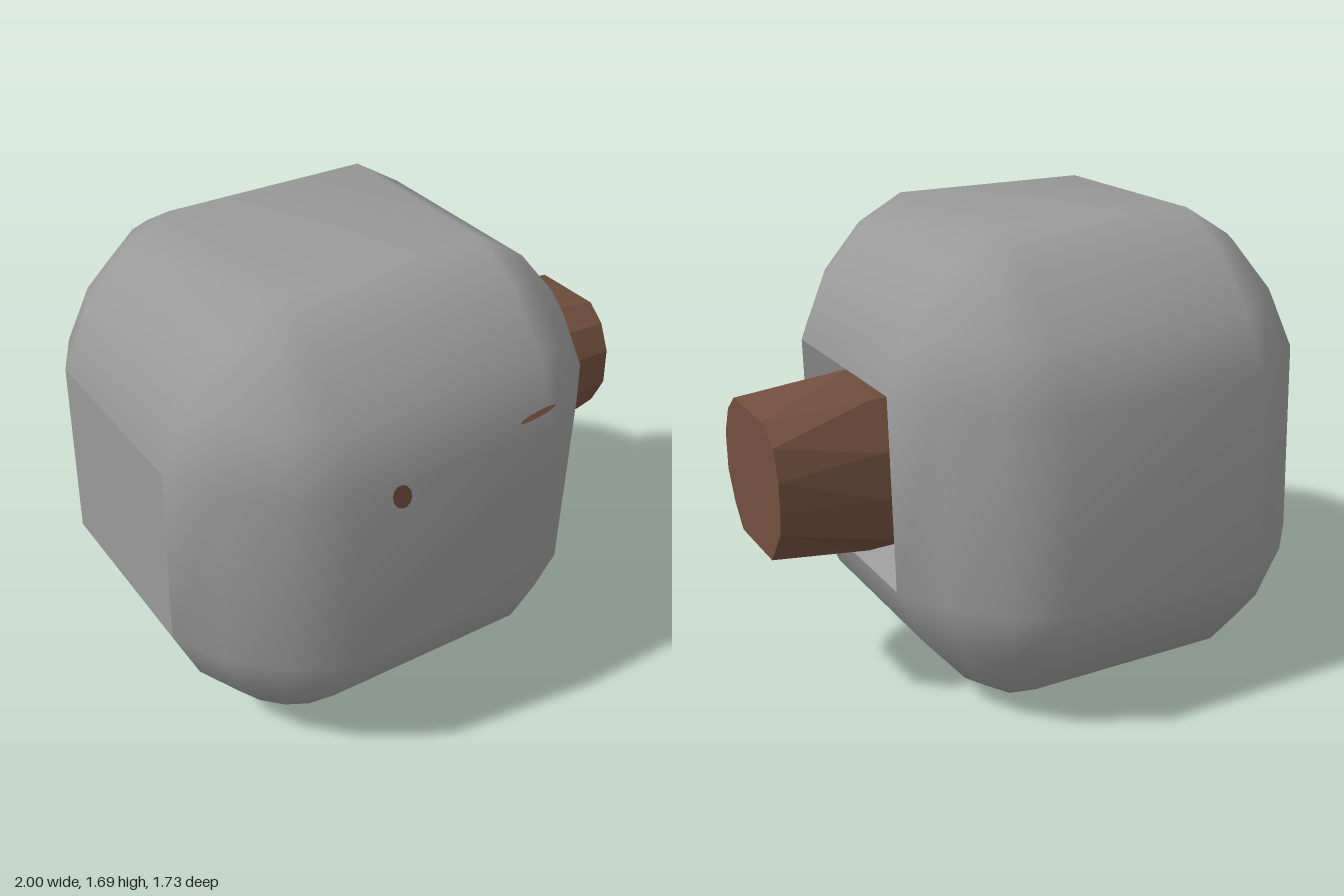
import * as THREE from 'three';
import { mergeVertices } from 'three/addons/utils/BufferGeometryUtils.js';

const grey = new THREE.MeshStandardMaterial({ color: 0x999999 });
grey.name = 'stone grey';
const brown = new THREE.MeshStandardMaterial({ color: 0x714f3e });
brown.name = 'wood brown';

const MID = 0.845;                                  // height of the body centre
const CORE = { x: 0.38, y: 0.345, z: 0.375 };       // half size of the flat faces
const ROUND = { x: 0.425, y: 0.5, z: 0.45 };        // size of the rounded edges
const SIN = [0, 0.42, 0.78, 1], COS = [1, 0.78, 0.42, 0];
const lean = (x, y, z) => [x, y + MID, z + 0.05 * y]; // slight forward slant

function mesh(name, geometry, material) {
  const m = new THREE.Mesh(geometry, material);
  m.name = name;
  return m;
}

function geometryFrom(points, index) {
  const g = new THREE.BufferGeometry();
  g.setAttribute('position', new THREE.Float32BufferAttribute(points.flat(), 3));
  if (index) g.setIndex(index);
  return g;
}

// Faceted skin through a list of rings, closed at the last ring
function loft(rings) {
  const tris = [];
  const n = rings[0].length;
  for (let r = 0; r < rings.length - 1; r++) {
    const a = rings[r], b = rings[r + 1];
    for (let i = 0; i < n; i++) {
      const k = (i + 1) % n;
      tris.push(a[i], b[i], a[k], a[k], b[i], b[k]);
    }
  }
  const end = rings[rings.length - 1];
  for (let i = 1; i < n - 1; i++) tris.push(end[0], end[i + 1], end[i]);
  const g = geometryFrom(tris);
  g.computeVertexNormals();
  return g;
}

// Rounded block in horizontal rings, leaving both end faces on x open
function bodyShell() {
  const points = [], index = [];
  const signs = [[1, 1], [-1, 1], [-1, -1], [1, -1]];
  for (let j = 0; j < 8; j++) {
    const up = j > 3, k = up ? j - 4 : 3 - j;
    const y = (up ? 1 : -1) * (CORE.y + ROUND.y * SIN[k]);
    signs.forEach(([sx, sz], c) => {
      for (let m = 0; m < 4; m++) {
        const a = c % 2 ? 3 - m : m;
        points.push(lean(
          sx * (CORE.x + ROUND.x * COS[k] * COS[a]), y,
          sz * (CORE.z + ROUND.z * COS[k] * SIN[a])));
      }
    });
  }
  for (let j = 0; j < 7; j++) {
    for (let i = 0; i < 16; i++) {
      if (j === 3 && (i === 7 || i === 15)) continue;
      const a = j * 16 + i, b = j * 16 + (i + 1) % 16;
      index.push(a, a + 16, b, b, a + 16, b + 16);
    }
  }
  const t = 7 * 16;
  index.push(t, t + 12, t + 8, t, t + 8, t + 4, 0, 4, 8, 0, 8, 12);
  const g = mergeVertices(geometryFrom(points, index));
  g.computeVertexNormals();
  return g;
}

// Rectangle across the x axis, scaled about the body centre
const rectangle = (x, s) => [[1, 1], [1, -1], [-1, -1], [-1, 1]].map(
  ([sy, sz]) => lean(x, sy * CORE.y * s, sz * CORE.z * s));

export function createModel() {
  const model = new THREE.Group();
  model.name = 'mallet';

  // Block, turned a little about the vertical
  const block = new THREE.Group();
  block.name = 'block';
  block.position.x = -0.175;
  block.rotation.y = -0.06;
  model.add(block);
  const side = CORE.x + ROUND.x;
  block.add(mesh('roundedShell', bodyShell(), grey));
  block.add(mesh('socket', loft([rectangle(side, 1), rectangle(side - 0.4, 0.6)]), grey));
  const [p, q, r, s] = rectangle(-side, 1);
  const face = geometryFrom([p, q, r, p, r, s]);
  face.computeVertexNormals();
  block.add(mesh('endFace', face, grey));

  // Small spots on the front
  const spots = [
    [-0.215, 1.15, 0.843, 0.034, 0.048, 0, 0.4],
    [0.325, 1.25, 0.822, 0.075, 0.01, -0.44, 0.12],
  ];
  for (const [x, y, z, w, h, tilt, turn] of spots) {
    const spot = mesh('frontSpot', new THREE.CircleGeometry(1, 12), brown);
    spot.scale.set(w, h, 1);
    spot.position.set(x, y, z);
    spot.rotation.set(tilt, 0, turn);
    block.add(spot);
  }

  // Tapered peg: outlines as [z, y]
  const root = [[0.16, 1.14], [0.03, 1.19], [-0.13, 1.12], [-0.22, 0.96], [-0.24, 0.8], [-0.21, 0.64],
    [-0.09, 0.55], [0.04, 0.51], [0.19, 0.58], [0.29, 0.76], [0.3, 0.94], [0.26, 1.06]];
  const tip = [[0.2, 1.1], [-0.08, 1.1], [-0.18, 1.04], [-0.21, 0.93], [-0.21, 0.82], [-0.2, 0.74],
    [-0.1, 0.61], [0.19, 0.61], [0.26, 0.69], [0.315, 0.8], [0.315, 0.94], [0.27, 1.04]];
  const ring = (outline, x) => outline.map(([z, y]) => [x - 0.06 * z, y, z]);
  model.add(mesh('peg', loft([ring(root, 0.2), ring(root, 0.62), ring(tip, 0.988)]), brown));

  return model;
}
